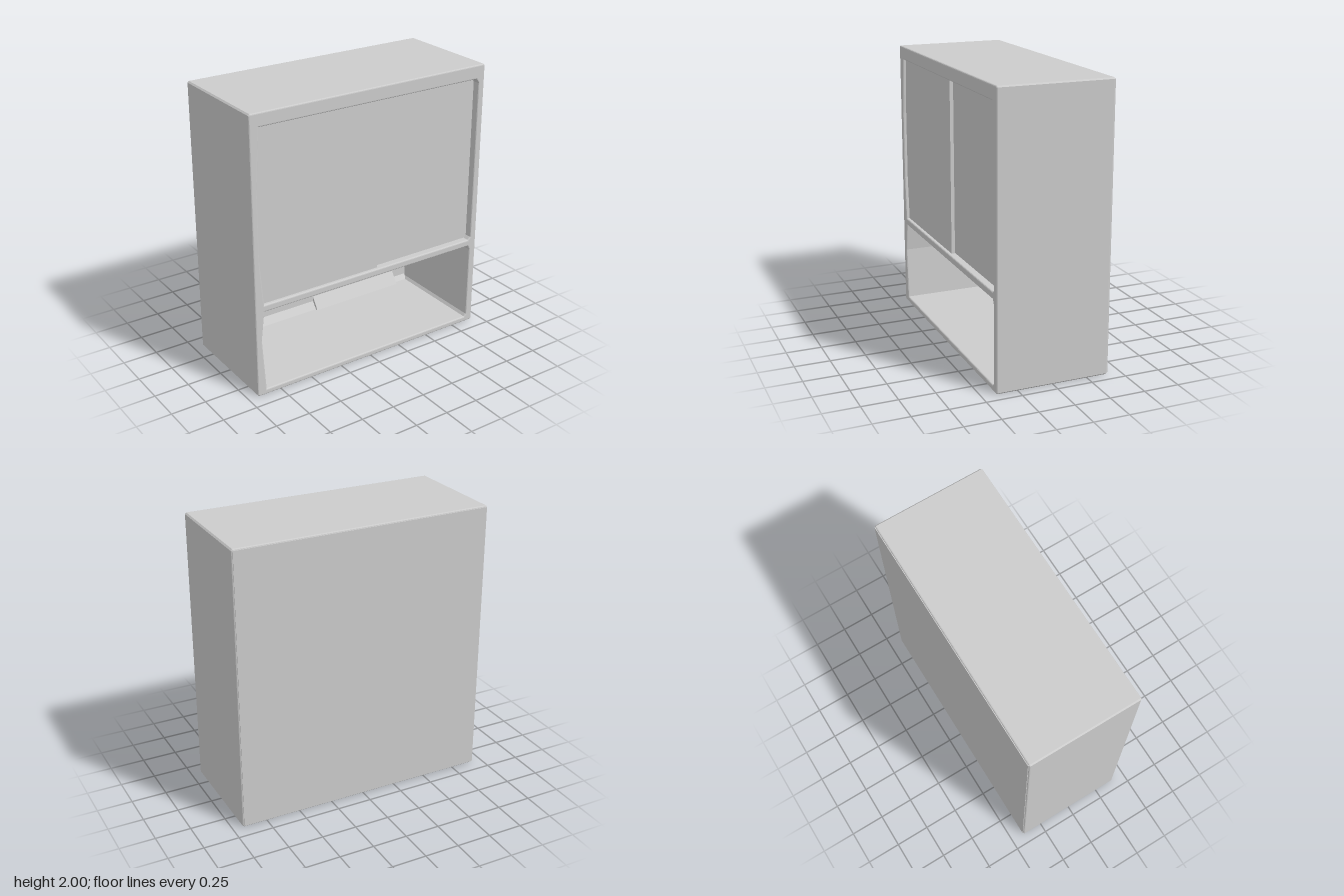
import * as THREE from 'three';

const grey = new THREE.MeshStandardMaterial({ color: 0xcccccc });

function add(group, name, geometry, x = 0, y = 0, z = 0) {
  const mesh = new THREE.Mesh(geometry, grey);
  mesh.name = name;
  mesh.position.set(x, y, z);
  group.add(mesh);
}

// Box given by its lower and upper corners
function addBox(group, name, [x0, y0, z0], [x1, y1, z1]) {
  add(group, name, new THREE.BoxGeometry(x1 - x0, y1 - y0, z1 - z0),
    (x0 + x1) / 2, (y0 + y1) / 2, (z0 + z1) / 2);
}

// Prism running along x from a profile of [z, y] points
function addPrism(group, name, profile, x0, x1) {
  const shape = new THREE.Shape(profile.map(([z, y]) => new THREE.Vector2(-z, y)));
  const geometry = new THREE.ExtrudeGeometry(shape, { depth: x1 - x0, bevelEnabled: false });
  geometry.rotateY(Math.PI / 2);
  add(group, name, geometry, x0);
}

const outline = (points) => points.map(([x, y]) => new THREE.Vector2(x, y));

export function createModel() {
  const cabinet = new THREE.Group();
  cabinet.name = 'cabinet';

  // Carcass: one softened frame with a door bay above an open cubby
  const frame = new THREE.Shape(outline([
    [-0.92, 0], [0.92, 0], [0.93, 0.01], [0.93, 1.99],
    [0.92, 2], [-0.92, 2], [-0.93, 1.99], [-0.93, 0.01],
  ]));
  const doorBay = [
    [-0.86, 0.68], [-0.885, 1.0], [-0.885, 1.5], [-0.86, 1.905],
    [0.86, 1.9], [0.88, 1.87], [0.88, 0.7], [0.86, 0.68],
  ];
  const cubby = [
    [-0.86, 0.04], [-0.885, 0.42], [-0.86, 0.63],
    [0.86, 0.63], [0.875, 0.6], [0.875, 0.06], [0.86, 0.04],
  ];
  frame.holes.push(new THREE.Path(outline(doorBay)), new THREE.Path(outline(cubby)));
  const bevel = 0.01;
  add(cabinet, 'carcass', new THREE.ExtrudeGeometry(frame, {
    depth: 0.8 - 2 * bevel, bevelThickness: bevel, bevelSize: bevel,
    bevelOffset: -bevel, bevelSegments: 3,
  }), 0, 0, -0.4 + bevel);

  // Back panel closes both bays
  addBox(cabinet, 'backPanel', [-0.92, 0.01, -0.405], [0.92, 1.99, -0.36]);

  // Sliding doors on two tracks, the wider one in front
  addBox(cabinet, 'frontDoor', [-0.885, 0.67, 0.35], [0.06, 1.91, 0.375]);
  addBox(cabinet, 'rearDoor', [0.02, 0.67, 0.325], [0.885, 1.91, 0.348]);

  // Sloping ceiling of the cubby
  addPrism(cabinet, 'cubbyCeiling', [[0.38, 0.632], [-0.37, 0.632], [-0.37, 0.6]], -0.872, 0.872);

  // Sloped fillets where the cubby floor meets the back
  addPrism(cabinet, 'leftFillet', [[-0.32, 0.04], [-0.365, 0.04], [-0.365, 0.1]], -0.87, 0);
  addPrism(cabinet, 'rightFillet', [[-0.3, 0.04], [-0.365, 0.04], [-0.365, 0.14]], 0, 0.75);
  addPrism(cabinet, 'cornerFillet', [[-0.33, 0.04], [-0.365, 0.04], [-0.365, 0.08]], 0.75, 0.87);

  return cabinet;
}
